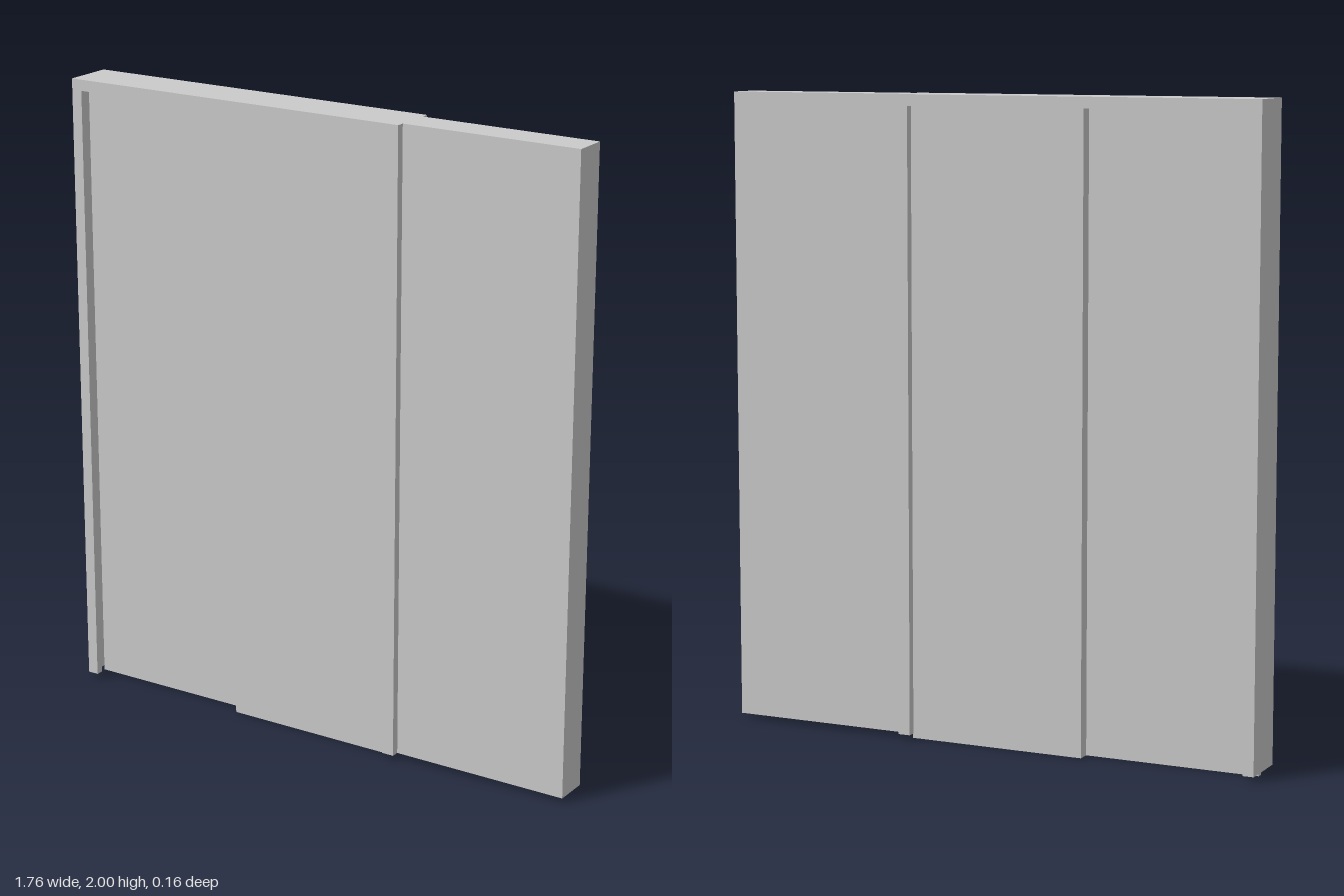
import * as THREE from 'three';

const material = new THREE.MeshStandardMaterial({ color: 0xcccccc, flatShading: true });

// Box given by its extents along each axis
function block(name, x0, x1, y0, y1, z0, z1) {
  const geometry = new THREE.BoxGeometry(x1 - x0, y1 - y0, z1 - z0);
  geometry.translate((x0 + x1) / 2, (y0 + y1) / 2, (z0 + z1) / 2);
  const mesh = new THREE.Mesh(geometry, material);
  mesh.name = name;
  return mesh;
}

export function createModel() {
  const group = new THREE.Group();
  group.name = 'slidingPocketDoor';

  const left = -0.88, right = 0.3, floor = 0.015, top = 2;
  const wallZ = 0.055, trimZ = 0.08;

  // Wall section that receives the sliding leaf
  group.add(block('pocketWall', right, 0.88, floor, top, -wallZ, wallZ));

  // Thin lining of the opening
  group.add(block('sideJamb', left, -0.87, floor, top, -wallZ, wallZ));
  group.add(block('headJamb', -0.87, right, 1.985, top, -wallZ, wallZ));

  // Three-sided casing, one on each face of the wall
  const outline = new THREE.Shape([
    [left, floor], [-0.845, floor], [-0.845, 1.965], [0.26, 1.965],
    [0.26, floor], [right, floor], [right, top], [left, top],
  ].map(([x, y]) => new THREE.Vector2(x, y)));
  const casing = new THREE.ExtrudeGeometry(outline, { depth: trimZ - wallZ, bevelEnabled: false });
  for (const [name, z] of [['frontCasing', wallZ], ['backCasing', -trimZ]]) {
    const mesh = new THREE.Mesh(casing, material);
    mesh.name = name;
    mesh.position.z = z;
    group.add(mesh);
  }

  // Central sliding leaf
  group.add(block('slidingLeaf', -0.87, -0.29, 0, 1.985, -0.01, 0.01));

  // Pair of cover leaves with a slot between them
  group.add(block('frontCoverLeaf', -0.31, 0.265, 0, 1.985, 0.01, 0.05));
  group.add(block('backCoverLeaf', -0.31, 0.265, 0, 1.985, -0.05, -0.01));

  // Post closing the pocket behind the casing
  group.add(block('pocketPost', 0.265, right, floor, 1.985, -wallZ, wallZ));

  return group;
}
